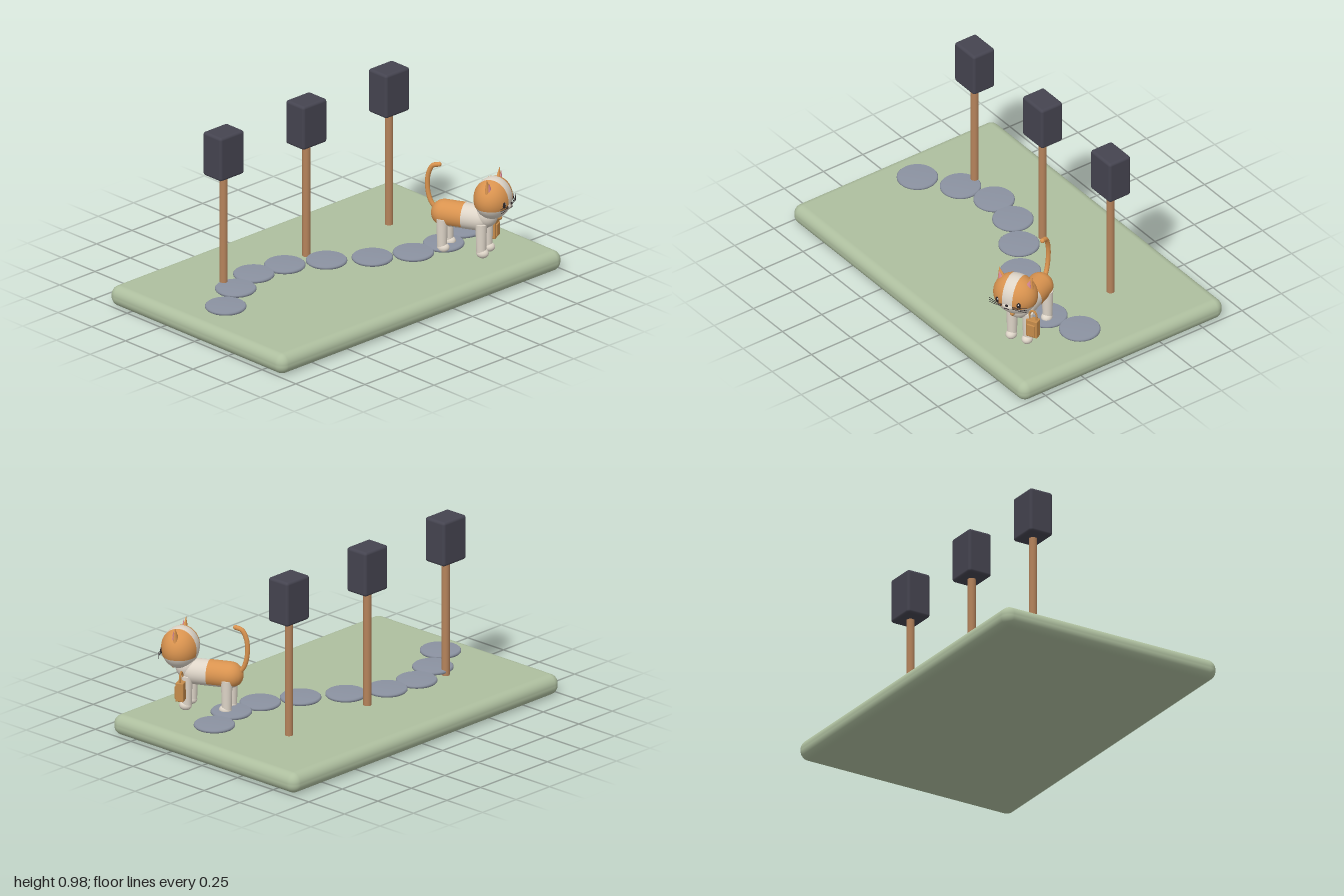
import * as THREE from 'three';
import { RoundedBoxGeometry } from 'three/addons/geometries/RoundedBoxGeometry.js';

const material = (name, color, opts = {}) => {
  const m = new THREE.MeshStandardMaterial({ color, ...opts });
  m.name = name;
  return m;
};
const mats = {
  grass: material('grass green', 0xaebf9f),
  stone: material('stone grey', 0x8b92a1),
  slate: material('lantern slate', 0x454450),
  wood: material('post wood', 0xb5835b),
  orange: material('orange fur', 0xd9934f),
  cream: material('cream fur', 0xded5c8),
  pink: material('ear pink', 0xd98a98),
  dark: material('dark features', 0x2a2426),
  bag: material('bag tan', 0xc58b4b),
  white: material('eye glint', 0xffffff),
};

function add(parent, name, geometry, mat, pos = [0, 0, 0], scale = [1, 1, 1]) {
  const mesh = new THREE.Mesh(geometry, mat);
  mesh.name = name;
  mesh.position.set(...pos);
  mesh.scale.set(...scale);
  parent.add(mesh);
  return mesh;
}

const ball = (r = 1) => new THREE.SphereGeometry(r, 36, 24);
const tube = (pts, r, n = 24) => new THREE.TubeGeometry(
  new THREE.CatmullRomCurve3(pts.map(p => new THREE.Vector3(...p))), n, r, 10);

// Shell around the x axis from [along, radius] rings, open below height yCut
function furPatch(rings, yCut, steps = 48) {
  const pos = [], idx = [];
  rings.forEach(([a, r], i) => {
    const limit = Math.acos(Math.max(-1, yCut / Math.max(r, 1e-6)));
    for (let j = 0; j <= steps; j++) {
      const phi = (j / steps * 2 - 1) * limit;
      pos.push(a, r * Math.cos(phi), r * Math.sin(phi));
      if (i < rings.length - 1 && j < steps) {
        const A = i * (steps + 1) + j, B = A + steps + 1;
        idx.push(A, B, A + 1, B, B + 1, A + 1);
      }
    }
  });
  const g = new THREE.BufferGeometry();
  g.setAttribute('position', new THREE.Float32BufferAttribute(pos, 3));
  g.setIndex(idx);
  g.computeVertexNormals();
  return g;
}

function buildHead() {
  const head = new THREE.Group();
  head.name = 'head';
  head.position.set(0, 0.442, 0.17);
  const size = [0.118, 0.11, 0.097];
  add(head, 'face', ball(), mats.cream, [0, 0, 0], size);
  add(head, 'muzzle', ball(), mats.cream, [0, -0.03, 0.08], [0.035, 0.022, 0.022]);
  add(head, 'nose', ball(), mats.dark, [0, -0.018, 0.1], [0.009, 0.006, 0.006]);
  add(head, 'mouth', tube([[-0.014, -0.035, 0.1], [-0.007, -0.039, 0.101], [0, -0.031, 0.103],
    [0.007, -0.039, 0.101], [0.014, -0.035, 0.1]], 0.0018), mats.dark);

  // Orange side caps leave a cream stripe down the middle
  const rings = Array.from({ length: 29 }, (_, i) => {
    const t = i / 28 * 1.32;
    return [1.012 * Math.cos(t), 1.012 * Math.sin(t)];
  });
  for (const s of [1, -1]) {
    const patch = furPatch(rings, -0.34);
    if (s < 0) patch.rotateY(Math.PI);
    add(head, 'headPatch', patch, mats.orange, [0, 0, 0], size);

    // Ears
    const ear = new THREE.Group();
    ear.name = 'ear';
    ear.position.set(0.083 * s, 0.088, 0);
    ear.rotation.z = -0.25 * s;
    head.add(ear);
    add(ear, 'outerEar', new THREE.ConeGeometry(0.036, 0.095, 24), mats.orange, [0, 0, 0], [1, 1, 0.55]);
    add(ear, 'innerEar', new THREE.ConeGeometry(0.025, 0.07, 24), mats.pink, [0, -0.006, 0.011], [1, 1, 0.5]);

    // Eyes
    add(head, 'eye', ball(), mats.dark, [0.06 * s, -0.008, 0.083], [0.013, 0.017, 0.007]);
    add(head, 'eyeGlint', ball(0.004), mats.white, [0.06 * s + 0.003, -0.001, 0.089]);

    // Whiskers
    for (const k of [-1, 0, 1]) {
      add(head, 'whisker', tube([[0.03 * s, -0.027 + k * 0.005, 0.095],
        [0.07 * s, -0.024 + k * 0.009, 0.094], [0.11 * s, -0.024 + k * 0.013, 0.082]], 0.0015, 8), mats.dark);
    }
  }
  return head;
}

function buildBag() {
  const bag = new THREE.Group();
  bag.name = 'bag';
  bag.position.set(0.085, 0.235, 0.14);
  add(bag, 'bagBody', new RoundedBoxGeometry(0.064, 0.102, 0.042, 3, 0.004), mats.bag);
  add(bag, 'bagPocket', new RoundedBoxGeometry(0.046, 0.07, 0.012, 3, 0.004), mats.bag, [0, -0.006, 0.023]);
  add(bag, 'bagHandle', tube([[-0.02, 0.045, 0], [-0.02, 0.08, 0], [-0.012, 0.096, 0], [0, 0.101, 0],
    [0.012, 0.096, 0], [0.02, 0.08, 0], [0.02, 0.045, 0]], 0.0055), mats.bag);
  return bag;
}

function buildCat() {
  const cat = new THREE.Group();
  cat.name = 'cat';
  cat.position.set(0.605, 0, 0.3);
  cat.rotation.y = 0.45;

  // Torso with an orange rump patch
  const r = 0.068, half = 0.095, y = 0.318;
  add(cat, 'torso', new THREE.CapsuleGeometry(r, half * 2, 16, 36).rotateX(Math.PI / 2), mats.cream, [0, y, 0]);
  add(cat, 'neck', ball(), mats.cream, [0, 0.345, 0.135], [0.062, 0.07, 0.06]);
  const R = r + 0.002, rings = [];
  for (let i = 0; i <= 18; i++) {
    const t = i / 18 * Math.PI / 2;
    rings.push([half + R * Math.cos(t), R * Math.sin(t)]);
  }
  rings.push([-0.015, R]);
  add(cat, 'rumpPatch', furPatch(rings, -0.044).rotateY(Math.PI / 2), mats.orange, [0, y, 0]);

  // Legs and paws
  for (const s of [1, -1]) {
    for (const z of [0.122, -0.092]) {
      add(cat, 'leg', new THREE.CylinderGeometry(0.03, 0.025, 0.17, 24), mats.cream, [0.046 * s, 0.22, z]);
      add(cat, 'paw', ball(), mats.cream, [0.046 * s, 0.143, z + 0.007], [0.029, 0.026, 0.033]);
    }
  }

  // Tail with rounded tip
  const path = [[0, 0.335, -0.145], [0, 0.375, -0.172], [0, 0.44, -0.188], [0, 0.52, -0.184],
    [0, 0.57, -0.16], [0, 0.582, -0.125]];
  add(cat, 'tail', tube(path, 0.0125, 40), mats.orange);
  add(cat, 'tailTip', ball(0.0125), mats.orange, path[5]);

  add(cat, 'collarTag', ball(0.013), mats.bag, [0, 0.336, 0.206]);
  cat.add(buildHead(), buildBag());
  return cat;
}

export function createModel() {
  const model = new THREE.Group();
  model.name = 'catOnGardenPath';

  // Ground slab
  add(model, 'ground', new RoundedBoxGeometry(2, 0.11, 1.29, 6, 0.05), mats.grass, [0, 0.055, 0]);

  // Winding stepping stones
  const stoneZ = [0, -0.13, -0.2, -0.175, -0.07, 0.065, 0.165, 0.185, 0.12];
  const profile = [[0, 0], [0.1, 0], [0.106, 0.006], [0.106, 0.014], [0.1, 0.02], [0, 0.02]]
    .map(p => new THREE.Vector2(...p));
  stoneZ.forEach((z, i) => add(model, 'steppingStone', new THREE.LatheGeometry(profile, 40),
    mats.stone, [(i - 4) * 0.195, 0.121, z]));

  // Lantern posts
  for (const x of [-0.585, 0, 0.585]) {
    const lantern = new THREE.Group();
    lantern.name = 'lantern';
    lantern.position.set(x, 0, -0.22);
    add(lantern, 'post', new THREE.CylinderGeometry(0.021, 0.021, 0.65, 24), mats.wood, [0, 0.43, 0]);
    add(lantern, 'lanternBox', new RoundedBoxGeometry(0.17, 0.242, 0.136, 4, 0.015), mats.slate, [0, 0.86, 0]);
    model.add(lantern);
  }

  model.add(buildCat());
  return model;
}
